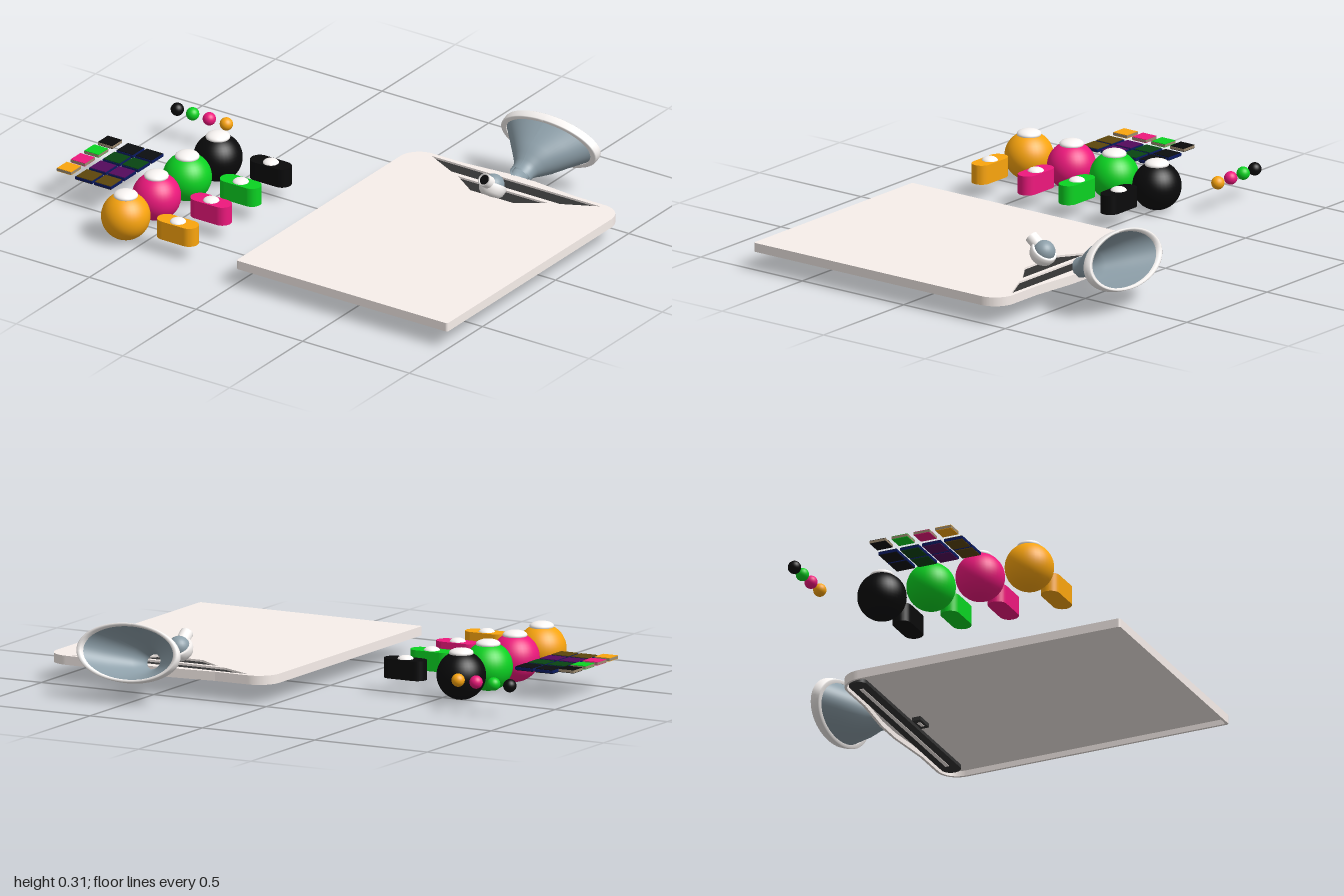
import * as THREE from 'three';

const mat = (color) => new THREE.MeshStandardMaterial({ color, side: THREE.DoubleSide });
const black = mat(0x0a0a0b), green = mat(0x0bd322), pink = mat(0xee187d), orange = mat(0xfaa50e);
const shell = mat(0xf8efeb), white = mat(0xfaf6f4), blueGrey = mat(0x8d9fa9);
const dark = mat(0x333333), navy = mat(0x0a1a60), tan = mat(0x9c8a70);
const colours = [black, green, pink, orange];
const deepColours = [mat(0x0c0e10), mat(0x084512), mat(0x540a5c), mat(0x5c460c)];

function add(parent, name, geometry, material, x = 0, y = 0, z = 0) {
  const m = new THREE.Mesh(geometry, material);
  m.name = name;
  m.position.set(x, y, z);
  parent.add(m);
  return m;
}

const lathe = (pts, seg = 40) => new THREE.LatheGeometry(pts.map(([r, y]) => new THREE.Vector2(r, y)), seg);

// Horizontal slab: the outline is drawn in x and -z, thickness runs up from y = 0
function slab(shape, height) {
  return new THREE.ExtrudeGeometry(shape, { depth: height, bevelEnabled: false, curveSegments: 14 })
    .rotateX(-Math.PI / 2);
}

// Rounded rectangle with separate radii for the front and back corners, and a swelling at the back
function outline(x0, x1, front, back, rf, rb, bump = 0) {
  const s = new THREE.Shape(), a = -front, b = -back, cx = (x0 + x1) / 2;
  s.moveTo(x0 + rf, a);
  s.lineTo(x1 - rf, a);
  s.absarc(x1 - rf, a + rf, rf, -Math.PI / 2, 0, false);
  s.lineTo(x1, b - rb);
  s.absarc(x1 - rb, b - rb, rb, 0, Math.PI / 2, false);
  if (bump) {
    s.lineTo(cx + 0.26, b);
    s.lineTo(cx + 0.06, b + bump);
    s.lineTo(cx - 0.06, b + bump);
    s.lineTo(cx - 0.26, b);
  }
  s.lineTo(x0 + rb, b);
  s.absarc(x0 + rb, b - rb, rb, Math.PI / 2, Math.PI, false);
  s.lineTo(x0, a + rf);
  s.absarc(x0 + rf, a + rf, rf, Math.PI, Math.PI * 1.5, false);
  return s;
}

function trapezoid(cx, backHalf, frontHalf, back, front) {
  return [[-backHalf, back], [-frontHalf, front], [frontHalf, front], [backHalf, back]]
    .map(([x, z]) => new THREE.Vector2(cx + x, -z));
}

// Thin-topped board, hollow underneath, with two dark wells sunk in the top
function makeBoard() {
  const g = new THREE.Group(), cx = 0.505;
  g.name = 'board';
  const wells = [trapezoid(cx, 0.395, 0.255, -0.45, -0.38), trapezoid(cx, 0.21, 0.1, -0.36, -0.285)];
  const full = () => outline(0.01, 1, 0.74, -0.47, 0.01, 0.09, 0.02);
  const top = full(), rim = full();
  wells.forEach((w) => top.holes.push(new THREE.Path(w)));
  rim.holes.push(outline(0.02, 0.99, 0.73, -0.46, 0.008, 0.08, 0.02));
  add(g, 'boardTop', slab(top, 0.01), shell, 0, 0.099, 0);
  add(g, 'boardPlate', slab(full(), 0.004), shell, 0, 0.095, 0);
  add(g, 'boardRim', slab(rim, 0.022), shell, 0, 0.073, 0);
  wells.forEach((w) => add(g, 'wellFloor', slab(new THREE.Shape(w), 0.002), dark, 0, 0.099, 0));

  // dark housing below the back edge
  add(g, 'undersideHousing', slab(outline(0.05, 0.96, -0.375, -0.452, 0.035, 0.038), 0.015), dark, 0, 0.08, 0);
  add(g, 'housingStrip', new THREE.BoxGeometry(0.78, 0.003, 0.016), shell, cx, 0.0795, -0.415);
  add(g, 'undersideNotch', new THREE.BoxGeometry(0.08, 0.015, 0.035), dark, cx, 0.0875, -0.345);
  add(g, 'notchInset', new THREE.BoxGeometry(0.035, 0.003, 0.014), shell, cx, 0.0795, -0.345);
  return g;
}

// Oval funnel leaning back behind the board, rounder at the neck than at the mouth
function makeFunnel() {
  const g = new THREE.Group();
  g.name = 'funnel';
  const flatten = (geo) => {
    const p = geo.attributes.position;
    for (let i = 0; i < p.count; i++) {
      p.setZ(i, p.getZ(i) * (0.87 - 0.35 * THREE.MathUtils.smoothstep(p.getY(i), 0.04, 0.21)));
    }
    geo.computeVertexNormals();
    return geo;
  };
  add(g, 'funnelCone', flatten(lathe([[0.046, 0], [0.047, 0.025], [0.055, 0.045], [0.075, 0.07],
    [0.105, 0.105], [0.15, 0.157], [0.197, 0.21]], 56)), blueGrey);
  add(g, 'funnelLining', flatten(lathe([[0.036, 0], [0.037, 0.03], [0.065, 0.075], [0.14, 0.157],
    [0.2, 0.225]], 56)), blueGrey);
  add(g, 'funnelRim', flatten(lathe([[0.196, 0.204], [0.217, 0.203], [0.222, 0.207], [0.224, 0.222],
    [0.223, 0.238], [0.218, 0.241], [0.206, 0.24], [0.2, 0.225], [0.196, 0.204]], 56)), white);
  g.position.set(0.505, 0.123, -0.478);
  g.rotation.x = -1.245;
  return g;
}

// Small spout on the board: pale cup holding a ball, with a dark-mouthed tube aimed forward and up
function makeSpout() {
  const g = new THREE.Group();
  g.name = 'spout';
  const cup = add(g, 'spoutCup', lathe([[0, -0.045], [0.036, -0.042], [0.048, -0.03], [0.054, -0.012],
    [0.054, 0.004], [0.05, 0.008], [0.036, 0.008]]), white);
  cup.rotation.x = -0.6;
  add(g, 'spoutBall', new THREE.SphereGeometry(0.044, 28, 18), blueGrey, 0, 0.002, -0.001);
  const tube = new THREE.Group();
  tube.name = 'spoutTube';
  add(tube, 'tubeWall', lathe([[0.026, 0], [0.026, 0.08], [0.02, 0.08], [0.02, 0.05]]), white);
  add(tube, 'tubeMouth', new THREE.CylinderGeometry(0.0205, 0.0205, 0.02, 24), black, 0, 0.067, 0);
  tube.rotation.x = 0.9;
  g.add(tube);
  g.position.set(0.503, 0.151, -0.298);
  return g;
}

export function createModel() {
  const model = new THREE.Group();
  model.name = 'boardAndTokens';
  model.add(makeBoard(), makeFunnel(), makeSpout());

  const ballGeo = new THREE.SphereGeometry(0.096, 36, 24);
  const capGeo = new THREE.SphereGeometry(0.048, 32, 16).scale(1, 0.4, 1);
  const pill = new THREE.Shape();
  pill.absarc(0.052, 0, 0.038, -Math.PI / 2, Math.PI / 2, false);
  pill.absarc(-0.052, 0, 0.038, Math.PI / 2, Math.PI * 1.5, false);
  const pillGeo = slab(pill, 0.077);
  const buttonGeo = new THREE.SphereGeometry(0.032, 24, 10, 0, Math.PI * 2, 0, Math.PI / 2).scale(1, 0.5, 1);
  const beadGeo = new THREE.SphereGeometry(0.026, 24, 16);

  colours.forEach((colour, i) => {
    // ball with a pale domed cap
    const zBall = 0.002 + 0.21 * i;
    add(model, 'ball', ballGeo, colour, -0.582, 0.096, zBall);
    add(model, 'ballCap', capGeo, white, -0.582, 0.184, zBall);

    // rounded block with a button
    const zPill = [-0.003, 0.203, 0.405, 0.632][i];
    add(model, 'block', pillGeo, colour, -0.337, 0.061, zPill);
    add(model, 'blockButton', buttonGeo, white, -0.337, 0.136, zPill);

    // row of beads
    add(model, 'bead', beadGeo, colour, [-0.92, -0.848, -0.77, -0.69][i], 0.122, -0.213);

    // one bright tile and two deep tiles
    const zTile = 0.18 + 0.0935 * i;
    add(model, 'brightTile', new THREE.BoxGeometry(0.066, 0.014, 0.066), colour, -0.966, 0.124, zTile);
    add(model, 'brightTileEdge', new THREE.BoxGeometry(0.068, 0.01, 0.068), tan, -0.966, 0.124, zTile);
    for (const x of [-0.87, -0.782]) {
      add(model, 'deepTile', new THREE.BoxGeometry(0.074, 0.016, 0.074), deepColours[i], x, 0.115, zTile);
      add(model, 'deepTileEdge', new THREE.BoxGeometry(0.079, 0.011, 0.079), navy, x, 0.115, zTile);
    }
  });
  return model;
}
